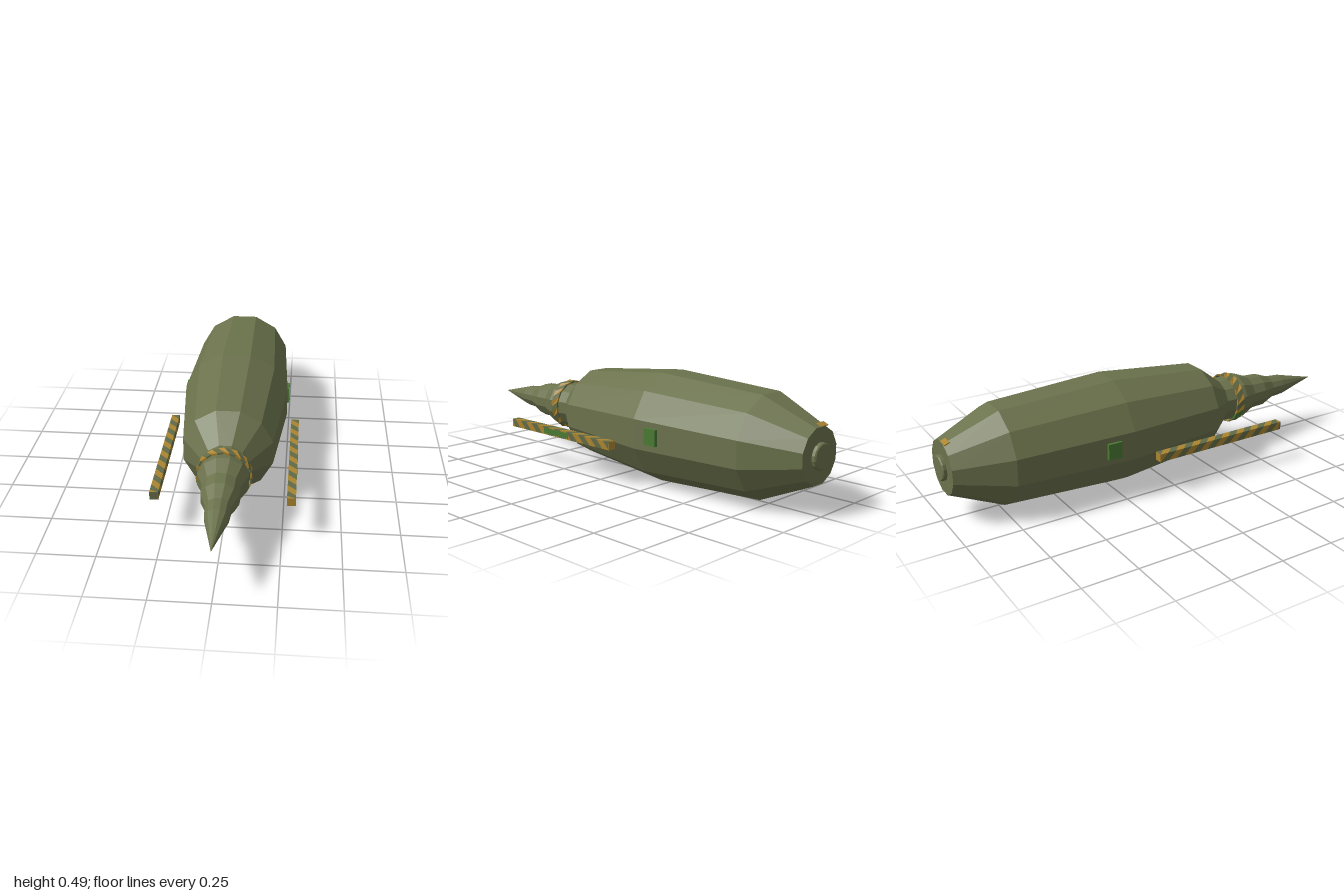
import * as THREE from 'three';

const mat = (name, color) => {
  const m = new THREE.MeshStandardMaterial({ color, flatShading: true });
  m.name = name;
  return m;
};

const CY = 0.244; // height of the long axis

export function createModel() {
  const olive = mat('olive', 0x6b724c);
  const gold = mat('gold', 0xab8530);
  const stripeGreen = mat('stripeGreen', 0x626b47);
  const green = mat('green', 0x4a7a33);
  const group = new THREE.Group();

  const add = (name, geometry, material, x = 0, y = 0, z = 0) => {
    const mesh = new THREE.Mesh(geometry, material);
    mesh.name = name;
    mesh.position.set(x, y, z);
    group.add(mesh);
    return mesh;
  };

  // Faceted solid along z from [apothem, z] pairs, with a flat side on top
  const hull = (name, profile, sides, material) => {
    const k = 1 / Math.cos(Math.PI / sides);
    const g = new THREE.LatheGeometry(
      profile.map(([r, z]) => new THREE.Vector2(r * k, z)), sides, Math.PI / sides);
    g.rotateX(Math.PI / 2);
    return add(name, g, material, 0, CY, 0);
  };

  // Skin of one stripe between two four-cornered sections
  const addSkin = (list, a, b) => {
    for (let i = 0; i < 4; i++) {
      const j = (i + 1) % 4;
      list.push(...a[i], ...a[j], ...b[j], ...a[i], ...b[j], ...b[i]);
    }
  };
  const skinGeometry = (list) => {
    const g = new THREE.BufferGeometry();
    g.setAttribute('position', new THREE.Float32BufferAttribute(list, 3));
    g.computeVertexNormals();
    return g;
  };

  hull('body', [[0, -0.982], [0.116, -0.982], [0.218, -0.745], [0.244, -0.205],
    [0.197, 0.275], [0.1, 0.405], [0, 0.405]], 12, olive);
  hull('nose', [[0.1, 0.39], [0.108, 0.515], [0.081, 0.585], [0.078, 0.655],
    [0.053, 0.725], [0.048, 0.795], [0.03, 0.87], [0, 1]], 12, olive);
  hull('rearCap', [[0.055, -0.975], [0.055, -0.995], [0.05, -1], [0, -1]].reverse(), 16, olive);

  // Slanted stripes around the collar
  const facets = 14, n = facets * 2;
  const corner = (i, r, z) => {
    const a = (i / n) * Math.PI * 2;
    const k = i % 2 ? Math.cos(Math.PI / facets) : 1;
    return [Math.sin(a) * r * k, Math.cos(a) * r * k, z];
  };
  const section = (i) => [corner(i, 0.112, 0.45), corner(i, 0.12, 0.45),
    corner(i + 1, 0.12, 0.49), corner(i + 1, 0.112, 0.49)];
  const collar = { gold: [], dark: [], green: [] };
  for (let i = 0; i < n; i++) {
    const key = i === 17 || i === 18 ? 'green' : i % 2 ? 'gold' : 'dark';
    addSkin(collar[key], section(i), section(i + 1));
  }
  add('collarGoldStripes', skinGeometry(collar.gold), gold, 0, CY, 0);
  add('collarDarkStripes', skinGeometry(collar.dark), stripeGreen, 0, CY, 0);
  add('collarGreenPatch', skinGeometry(collar.green), green, 0, CY, 0);

  // Striped rails on both sides
  const h = 0.0185, z0 = -0.112, z1 = 0.56, step = 0.041;
  const railSection = (z) => [[-h, -h], [h, -h], [h, h], [-h, h]].map(([x, y]) =>
    [x, y, Math.min(z1, Math.max(z0, z + x + y))]);
  for (const side of [1, -1]) {
    const lists = [[], []];
    for (let i = -1; i < 18; i++) {
      const z = z0 + i * step;
      addSkin(lists[(i + 2) % 2], railSection(z), railSection(z + step));
    }
    const prefix = side > 0 ? 'left' : 'right';
    const x = side * 0.285, y = 0.183;
    add(prefix + 'RailGoldStripes', skinGeometry(lists[0]), gold, x, y, 0);
    add(prefix + 'RailDarkStripes', skinGeometry(lists[1]), stripeGreen, x, y, 0);
    const end = new THREE.BoxGeometry(h * 2, h * 2, 0.002);
    add(prefix + 'RailFrontEnd', end, side > 0 ? gold : stripeGreen, x, y, z1);
    add(prefix + 'RailRearEnd', end, gold, x, y, z0);

    // Side hatch
    add(prefix + 'Hatch', new THREE.BoxGeometry(0.02, 0.073, 0.066), green, side * 0.242, 0.246, -0.305);
  }

  // Painted patch on the outer face of the left rail
  add('leftRailGreenPatch', new THREE.BoxGeometry(0.002, 0.026, 0.17), green, 0.304, 0.183, 0.24);

  // Small painted mark above the rear cap
  const mark = add('rearMark', new THREE.BoxGeometry(0.05, 0.004, 0.025), gold, -0.027, CY + 0.121, -0.97);
  mark.rotation.x = -Math.atan2(0.102, 0.237);

  return group;
}
